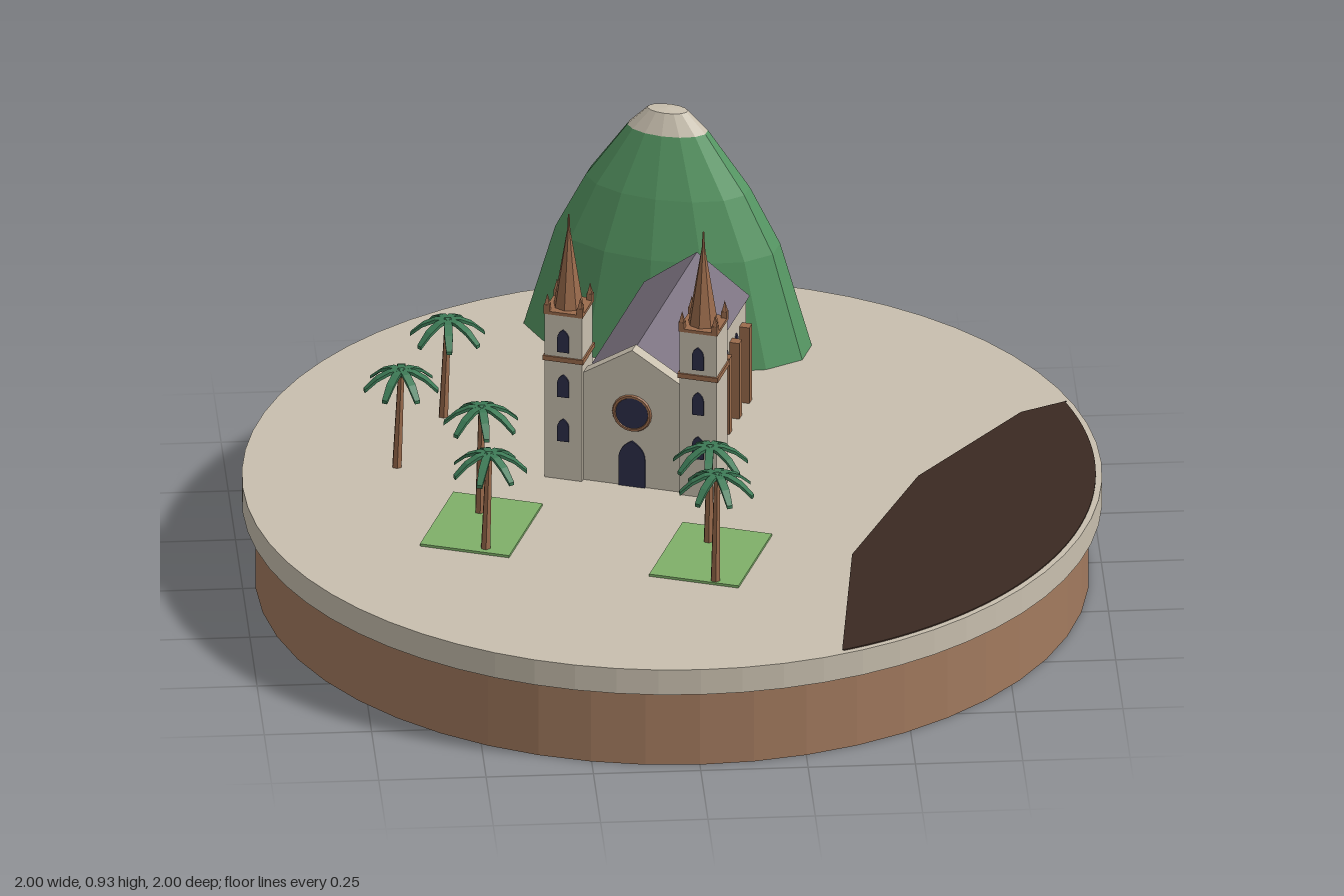
import * as THREE from 'three';

const mat = (name, color, flat = true) =>
  Object.assign(new THREE.MeshStandardMaterial({ color, flatShading: flat }), { name });
const M = {
  earth: mat('earth', 0xa27a5e),
  stone: mat('stone', 0xc8bfae),
  brick: mat('brick', 0x9a6b4c),
  slate: mat('slate', 0x7b7280),
  glass: mat('glass', 0x2c2e48),
  hill: mat('hill green', 0x559562),
  palm: mat('palm green', 0x3d7a56),
  grass: mat('grass', 0x7fb069),
  dark: mat('dark water', 0x3b2a22),
};
const GROUND = 0.263, TURN = -0.35;

function add(parent, name, geo, material, x = 0, y = 0, z = 0, ry = 0) {
  const m = new THREE.Mesh(geo, material);
  m.name = name;
  m.position.set(x, y, z);
  m.rotation.y = ry;
  parent.add(m);
  return m;
}
const box = (w, h, d) => new THREE.BoxGeometry(w, h, d);
const extrude = (shape, depth) => new THREE.ExtrudeGeometry(shape, { depth, bevelEnabled: false, curveSegments: 8 });
const polygon = pts => new THREE.Shape(pts.map(p => new THREE.Vector2(...p)));

// Thin pointed-arch plate standing on y = 0
function arch(w, h) {
  const s = new THREE.Shape();
  s.moveTo(-w / 2, 0);
  s.lineTo(w / 2, 0);
  s.lineTo(w / 2, h * 0.6);
  s.quadraticCurveTo(w / 2, h * 0.85, 0, h);
  s.quadraticCurveTo(-w / 2, h * 0.85, -w / 2, h * 0.6);
  return extrude(s, 0.006);
}

function makeTower(side) {
  const t = new THREE.Group();
  t.name = side > 0 ? 'leftTower' : 'rightTower';
  t.position.x = side * 0.163;
  add(t, 'towerShaft', box(0.09, 0.43, 0.09), M.stone, 0, 0.215);
  add(t, 'towerBand', box(0.098, 0.012, 0.098), M.brick, 0, 0.312);
  add(t, 'towerCornice', box(0.094, 0.008, 0.094), M.brick, 0, 0.43);
  for (const y of [0.1, 0.215, 0.332]) add(t, 'towerWindow', arch(0.028, 0.058), M.glass, 0, y, 0.043);
  add(t, 'spire', new THREE.CylinderGeometry(0.004, 0.037, 0.2, 8), M.brick, 0, 0.528);
  add(t, 'needle', new THREE.CylinderGeometry(0.002, 0.004, 0.045, 6), M.brick, 0, 0.647);
  for (const x of [-1, 1]) for (const z of [-1, 1]) {
    add(t, 'pinnaclePost', box(0.014, 0.02, 0.014), M.brick, x * 0.04, 0.44, z * 0.04);
    add(t, 'pinnacle', new THREE.ConeGeometry(0.009, 0.03, 4), M.brick, x * 0.04, 0.462, z * 0.04, Math.PI / 4);
  }
  return t;
}

function makeChurch() {
  const c = new THREE.Group();
  c.name = 'church';
  c.position.set(-0.085, GROUND, 0.02);
  c.rotation.y = TURN;
  // Nave and gabled roof
  add(c, 'naveWalls', box(0.24, 0.252, 0.5), M.stone, 0, 0.126, -0.25);
  add(c, 'roof', extrude(polygon([[-0.128, 0.25], [0.128, 0.25], [0, 0.346]]), 0.51), M.slate, 0, 0, -0.506);
  // Entrance front
  add(c, 'facade', extrude(polygon([[-0.12, 0], [0.12, 0], [0.12, 0.278], [0, 0.353], [-0.12, 0.278]]), 0.033),
    M.stone);
  add(c, 'door', arch(0.064, 0.118), M.glass, 0, 0, 0.031);
  add(c, 'roseWindow', new THREE.CircleGeometry(0.042, 20), M.glass, 0, 0.19, 0.036);
  add(c, 'roseRing', new THREE.TorusGeometry(0.043, 0.005, 6, 20), M.brick, 0, 0.19, 0.034);
  // Buttresses and windows along both sides
  for (const s of [-1, 1]) {
    for (let i = 0; i < 5; i++) {
      const z = -0.127 - i * 0.083;
      add(c, 'buttress', box(0.03, 0.197, 0.024), M.brick, s * 0.129, 0.0985, z);
      if (i < 4) add(c, 'naveWindow', arch(0.036, 0.11), M.glass, s * 0.117, 0.085, z - 0.0415, s * Math.PI / 2);
    }
    c.add(makeTower(s));
  }
  return c;
}

// Elliptical hill with a pale summit
function makeHill() {
  const g = new THREE.Group();
  g.name = 'hill';
  g.position.set(0.038, GROUND, -0.718);
  g.rotation.y = TURN;
  g.scale.set(0.346, 1, 0.178);
  const lathe = pts => new THREE.LatheGeometry(pts.map(p => new THREE.Vector2(...p)), 14);
  add(g, 'hillSlopes', lathe([[1, 0], [0.78, 0.26], [0.57, 0.4], [0.28, 0.54]]), M.hill);
  add(g, 'hillSummit', lathe([[0.28, 0.54], [0.14, 0.588], [0, 0.592]]), M.stone);
  return g;
}

// Drooping frond reaching along +x, made by bending a slim box
function frondGeometry() {
  const geo = box(0.09, 0.008, 0.02, 1);
  const g = new THREE.BoxGeometry(0.09, 0.008, 0.022, 3, 1, 1);
  geo.dispose();
  const p = g.attributes.position;
  for (let i = 0; i < p.count; i++) {
    const t = (p.getX(i) + 0.045) / 0.09;
    p.setXYZ(i, t * 0.088, p.getY(i) + 0.012 * t - 0.055 * t * t, p.getZ(i) * (0.6 + 1.2 * t * (1 - t)));
  }
  g.computeVertexNormals();
  return g;
}

function makePalm(x, z, h, spin, lean) {
  const g = new THREE.Group();
  g.name = 'palmTree';
  g.position.set(x, GROUND, z);
  const trunk = new THREE.CylinderGeometry(0.008, 0.012, h, 6);
  trunk.translate(0, h / 2, 0);
  const p = trunk.attributes.position;
  for (let i = 0; i < p.count; i++) p.setX(i, p.getX(i) - lean * (1 - p.getY(i) / h));
  add(g, 'palmTrunk', trunk, M.brick);
  add(g, 'palmCrown', new THREE.IcosahedronGeometry(0.014, 0), M.palm, 0, h, 0);
  const frond = frondGeometry();
  for (let i = 0; i < 7; i++) add(g, 'palmFrond', frond, M.palm, 0, h + 0.005, 0, spin + i * Math.PI * 2 / 7);
  return g;
}

export function createModel() {
  const root = new THREE.Group();
  root.name = 'islandTown';
  // Round base
  add(root, 'earthBase', new THREE.CylinderGeometry(0.97, 0.97, 0.2, 48), M.earth, 0, 0.1);
  add(root, 'stonePlate', new THREE.CylinderGeometry(1, 1, GROUND - 0.198, 64), M.stone, 0, (GROUND + 0.198) / 2);
  // Dark bay along the rim
  const bay = polygon([[0.94, 0.31], [0.83, 0.26], [0.57, -0.05], [0.39, -0.44], [0.335, -0.92]]);
  bay.absarc(0, 0, 0.985, -1.22, 0.318, false);
  const bayGeo = new THREE.ExtrudeGeometry(bay, { depth: 0.003, bevelEnabled: false, curveSegments: 24 });
  bayGeo.rotateX(-Math.PI / 2);
  add(root, 'bay', bayGeo, M.dark, 0, GROUND, 0);
  // Lawns
  for (const [x, z] of [[-0.46, 0.232], [0.0615, 0.422]])
    add(root, 'lawn', box(0.216, 0.006, 0.278), M.grass, x, GROUND + 0.003, z, TURN);
  root.add(makeChurch(), makeHill());
  // Palms: x, z, trunk height, spin, lean
  const palms = [
    [-0.5, -0.335, 0.245, 0.2, 0.01], [-0.625, -0.085, 0.245, 0.6, 0.01], [-0.455, 0.17, 0.272, 0.3, 0.004],
    [-0.45, 0.355, 0.245, 0.8, 0.008], [0.065, 0.355, 0.245, 0.1, 0.004], [0.068, 0.555, 0.275, 0.5, 0.004],
  ];
  for (const p of palms) root.add(makePalm(...p));
  return root;
}
